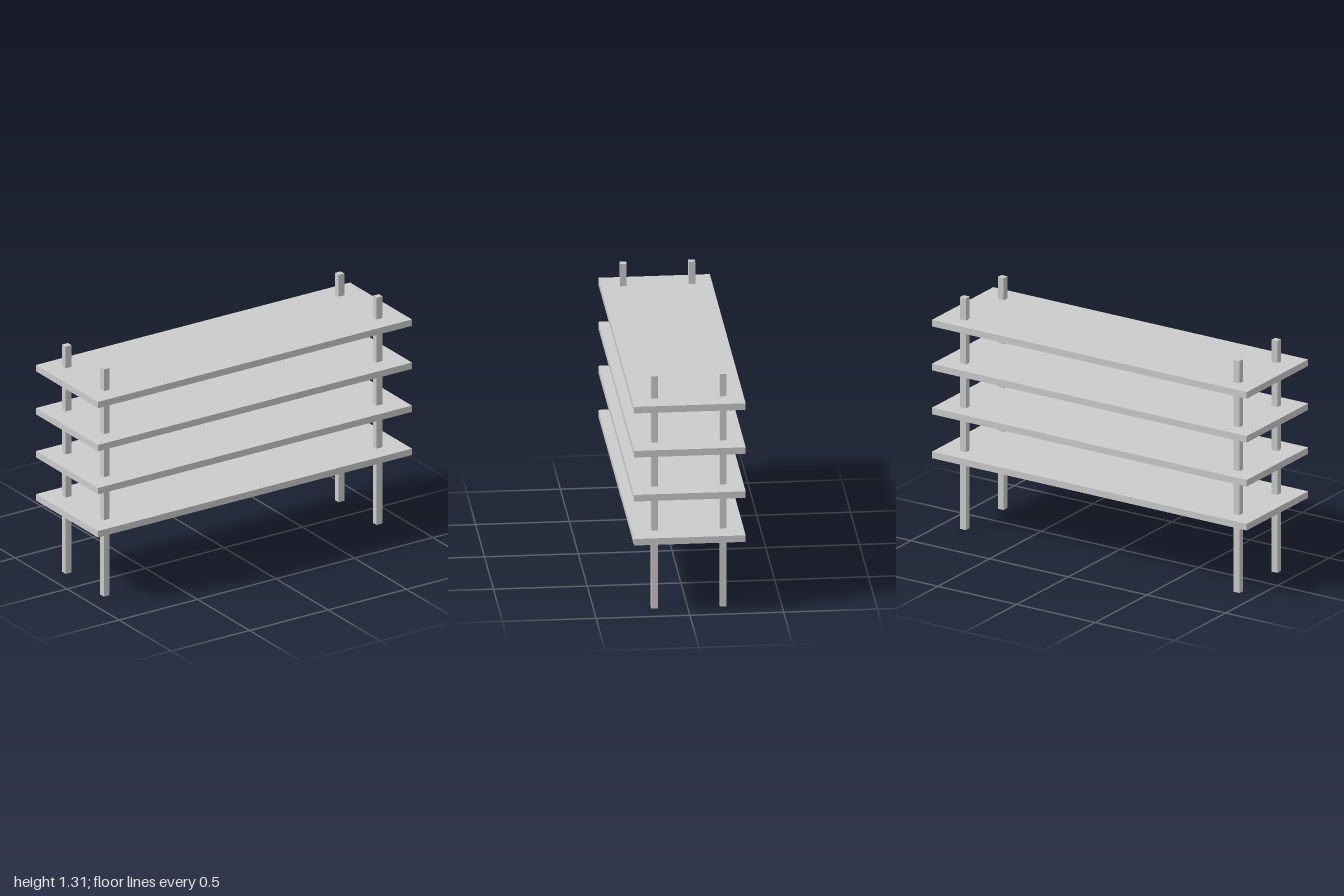
import * as THREE from 'three';

const material = new THREE.MeshStandardMaterial({ color: 0xcccccc });

function addBox(parent, name, size, position) {
  const mesh = new THREE.Mesh(new THREE.BoxGeometry(...size), material);
  mesh.name = name;
  mesh.position.set(...position);
  parent.add(mesh);
}

export function createModel() {
  const model = new THREE.Group();
  model.name = 'shelvingUnit';

  // Four evenly spaced boards
  for (let i = 0; i < 4; i++) {
    addBox(model, `shelf${i + 1}`, [2, 0.037, 0.595], [0, 0.423 + i * 0.249, 0]);
  }

  // Four square posts through the boards, set slightly off centre
  const height = 1.314;
  for (const [side, x] of [['Right', -0.876], ['Left', 0.862]]) {
    for (const [end, z] of [['front', 0.177], ['back', -0.189]]) {
      addBox(model, `${end}${side}Post`, [0.037, height, 0.035], [x, height / 2, z]);
    }
  }

  return model;
}
